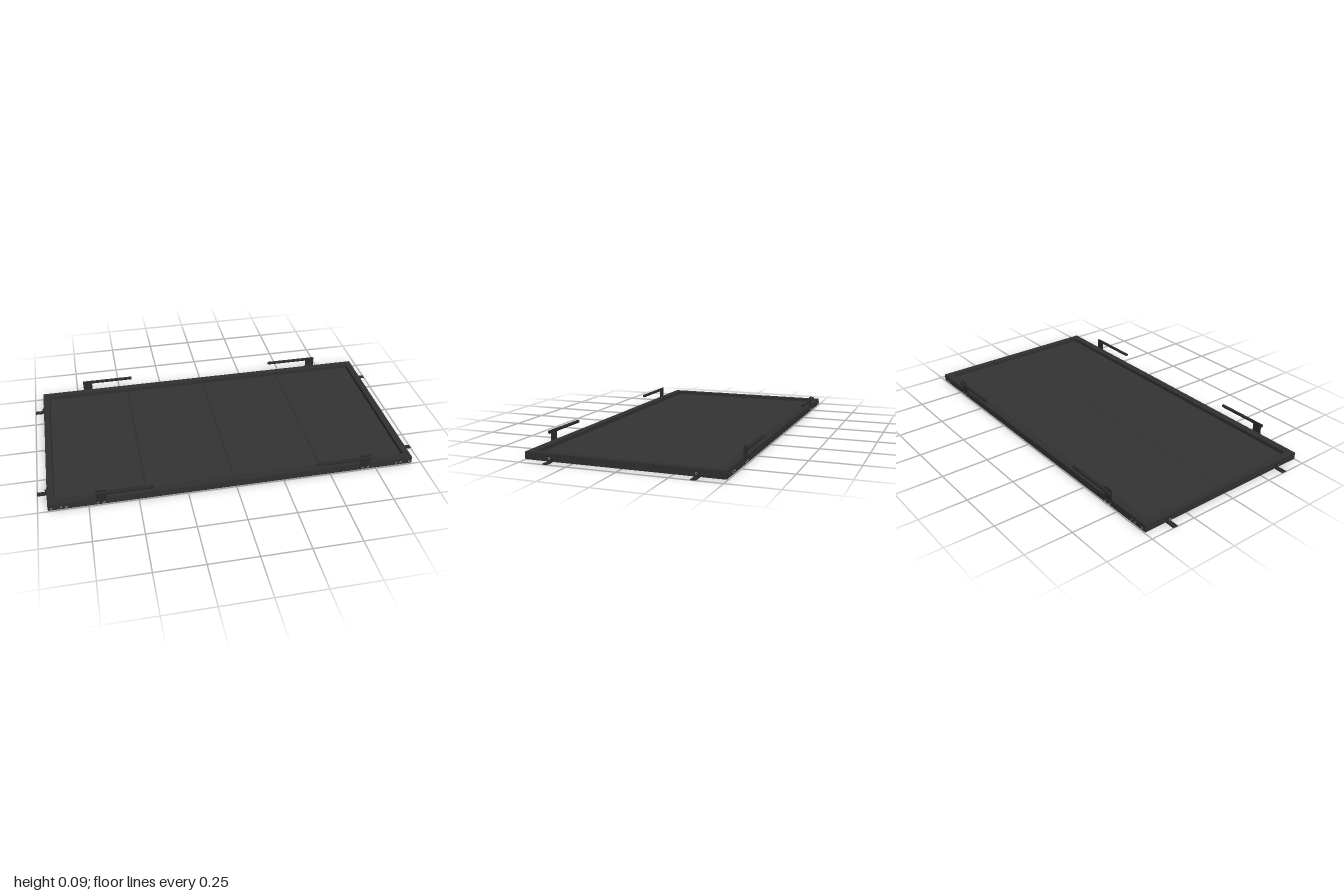
import * as THREE from 'three';

export function createModel() {
  const root = new THREE.Group();
  const frameMat = new THREE.MeshStandardMaterial({ color: 0x303030 });
  frameMat.name = 'charcoal frame';
  const panelMat = new THREE.MeshStandardMaterial({ color: 0x333333 });
  panelMat.name = 'dark grey panel';
  const fittingMat = new THREE.MeshStandardMaterial({ color: 0x2a2a2a });
  fittingMat.name = 'black fitting';
  const steelMat = new THREE.MeshStandardMaterial({ color: 0xb8b8b8 });
  steelMat.name = 'light steel';

  const add = (parent, name, geo, mat, x, y, z) => {
    const mesh = new THREE.Mesh(geo, mat);
    mesh.name = name;
    mesh.position.set(x, y, z);
    parent.add(mesh);
    return mesh;
  };
  const box = (parent, name, mat, w, h, d, x, y, z) =>
    add(parent, name, new THREE.BoxGeometry(w, h, d), mat, x, y, z);

  // Outer frame: two long rails and two end rails
  const frame = new THREE.Group();
  frame.name = 'frame';
  root.add(frame);
  for (const s of [-1, 1]) {
    box(frame, 'longRail', frameMat, 1.9, 0.037, 0.039, 0, 0.0215, s * 0.4775);
    box(frame, 'endRail', frameMat, 0.035, 0.037, 0.916, s * 0.9325, 0.0215, 0);
  }

  // Eight square floor panels with rounded corners and bevelled edges
  const panels = new THREE.Group();
  panels.name = 'panels';
  root.add(panels);
  const bevel = 0.004, r = 0.006, a = 0.2287 - bevel;
  const square = new THREE.Shape();
  square.moveTo(-a + r, -a);
  square.absarc(a - r, -a + r, r, -Math.PI / 2, 0);
  square.absarc(a - r, a - r, r, 0, Math.PI / 2);
  square.absarc(-a + r, a - r, r, Math.PI / 2, Math.PI);
  square.absarc(-a + r, -a + r, r, Math.PI, Math.PI * 1.5);
  const panelGeo = new THREE.ExtrudeGeometry(square, {
    depth: 0.012, bevelEnabled: true, bevelSize: bevel,
    bevelThickness: bevel, bevelSegments: 2, curveSegments: 4,
  });
  panelGeo.rotateX(-Math.PI / 2);
  for (let i = 0; i < 4; i++) {
    for (const s of [-1, 1]) {
      add(panels, 'panel', panelGeo, panelMat, (i - 1.5) * 0.4575, 0.007, s * 0.229);
    }
  }

  // Bolt pointing along +z: round head, bright ring and dark socket
  const headGeo = new THREE.CylinderGeometry(0.0065, 0.0075, 0.007, 16).rotateX(Math.PI / 2);
  const ringGeo = new THREE.RingGeometry(0.0028, 0.0055, 16);
  const bolt = (parent, x, y, z, turn) => {
    const g = new THREE.Group();
    g.name = 'bolt';
    add(g, 'boltHead', headGeo, fittingMat, 0, 0, 0.0035);
    add(g, 'boltRing', ringGeo, steelMat, 0, 0, 0.0073);
    g.position.set(x, y, z);
    g.rotation.y = turn;
    parent.add(g);
  };

  const rodGeo = new THREE.CylinderGeometry(0.0085, 0.0085, 0.288, 20).rotateZ(Math.PI / 2);
  for (const sz of [-1, 1]) {
    const turn = sz > 0 ? 0 : Math.PI;
    for (const sx of [-1, 1]) {
      // Corner bolts
      for (const x of [0.932, 0.885, 0.858]) bolt(frame, sx * x, 0.021, sz * 0.497, turn);

      // Side handle: upright plate and a horizontal rod
      const handle = new THREE.Group();
      handle.name = 'handle';
      root.add(handle);
      box(handle, 'handlePlate', fittingMat, 0.052, 0.087, 0.003, sx * 0.686, 0.0515, sz * 0.4985);
      add(handle, 'handleRod', rodGeo, fittingMat, sx * 0.567, 0.082, sz * 0.5085);
      for (const x of [0.703, 0.673]) bolt(handle, sx * x, 0.021, sz * 0.5, turn);

      // End bracket: bolted plate with a flat foot
      const bracket = new THREE.Group();
      bracket.name = 'endBracket';
      root.add(bracket);
      box(bracket, 'bracketPlate', fittingMat, 0.003, 0.03, 0.026, sx * 0.9515, 0.015, sz * 0.363);
      box(bracket, 'bracketFoot', fittingMat, 0.05, 0.004, 0.026, sx * 0.975, 0.002, sz * 0.363);
      bolt(bracket, sx * 0.953, 0.02, sz * 0.363, sx * Math.PI / 2);
    }
  }
  return root;
}
